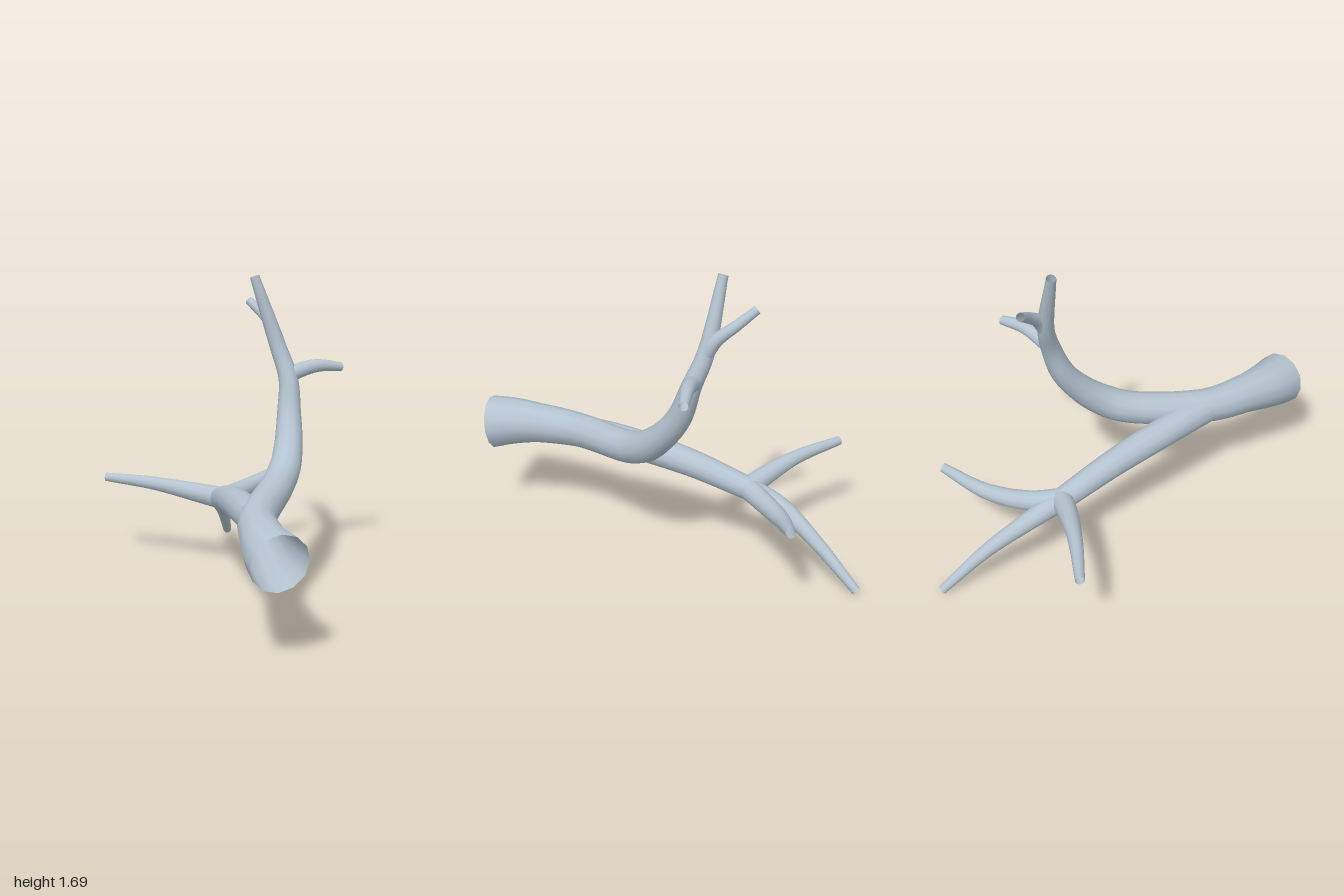
import * as THREE from 'three';

// Open tube along a smooth curve; the radii are spread evenly over its length
function taperedTube(points, radii) {
  const curve = new THREE.CatmullRomCurve3(points.map((p) => new THREE.Vector3(...p)));
  const rings = points.length * 6, sides = 12, spans = radii.length - 1;
  const geo = new THREE.TubeGeometry(curve, rings, 1, sides, false);
  const pos = geo.attributes.position, nor = geo.attributes.normal;
  const offset = new THREE.Vector3();
  for (let i = 0; i <= rings; i++) {
    const s = (i / rings) * spans, k = Math.min(Math.floor(s), spans - 1);
    const radius = THREE.MathUtils.lerp(radii[k], radii[k + 1], s - k);
    const centre = curve.getPointAt(i / rings);
    for (let j = 0; j <= sides; j++) {
      const v = i * (sides + 1) + j;
      offset.fromBufferAttribute(nor, v).multiplyScalar(radius).add(centre);
      pos.setXYZ(v, offset.x, offset.y, offset.z);
    }
  }
  return geo;
}

export function createModel() {
  const group = new THREE.Group();
  group.name = 'branch';
  const bark = new THREE.MeshStandardMaterial({ color: 0xb4c4d0, side: THREE.DoubleSide });
  bark.name = 'pale blue grey';

  const addLimb = (name, radii, ...points) => {
    const limb = new THREE.Mesh(taperedTube(points, radii), bark);
    limb.name = name;
    group.add(limb);
  };

  // Main limb, from the wide cut end up to the top tip
  addLimb('trunk', [0.15, 0.112, 0.094, 0.09, 0.088, 0.071, 0.052, 0.041, 0.026],
    [0.96, 0.54, 0.635], [0.85, 0.557, 0.595], [0.7, 0.574, 0.515], [0.48, 0.592, 0.36],
    [0.22, 0.65, 0], [0.14, 0.715, -0.125], [0.06, 0.82, -0.22], [-0.015, 0.96, -0.29],
    [-0.068, 1.14, -0.33], [-0.14, 1.31, -0.318], [-0.235, 1.692, -0.23]);

  // Low bough and the three twigs at its end
  const fork = [-0.405, 0.428, -0.122];
  addLimb('lowerBough', [0.088, 0.081, 0.064],
    [0.49, 0.588, 0.37], [0.24, 0.57, 0.245], [-0.1, 0.515, 0.055], fork);
  addLimb('frontTwig', [0.064, 0.041, 0.025],
    fork, [-0.5, 0.45, -0.045], [-0.72, 0.488, 0.107], [-0.985, 0.499, 0.258]);
  addLimb('droopingTwig', [0.062, 0.042, 0.024],
    fork, [-0.57, 0.365, -0.24], [-0.74, 0.225, -0.415], [-0.92, 0.03, -0.592]);
  addLimb('backTwig', [0.062, 0.049, 0.026],
    fork, [-0.47, 0.415, -0.28], [-0.52, 0.438, -0.51], [-0.516, 0.512, -0.777]);

  // Two small twigs near the top
  addLimb('upperBackTwig', [0.045, 0.038, 0.025],
    [-0.08, 1.15, -0.32], [-0.06, 1.175, -0.39], [-0.027, 1.197, -0.5], [0.01, 1.178, -0.655]);
  addLimb('upperSideTwig', [0.042, 0.031, 0.023],
    [-0.13, 1.29, -0.32], [-0.19, 1.385, -0.337], [-0.285, 1.46, -0.345], [-0.395, 1.536, -0.325]);

  return group;
}
